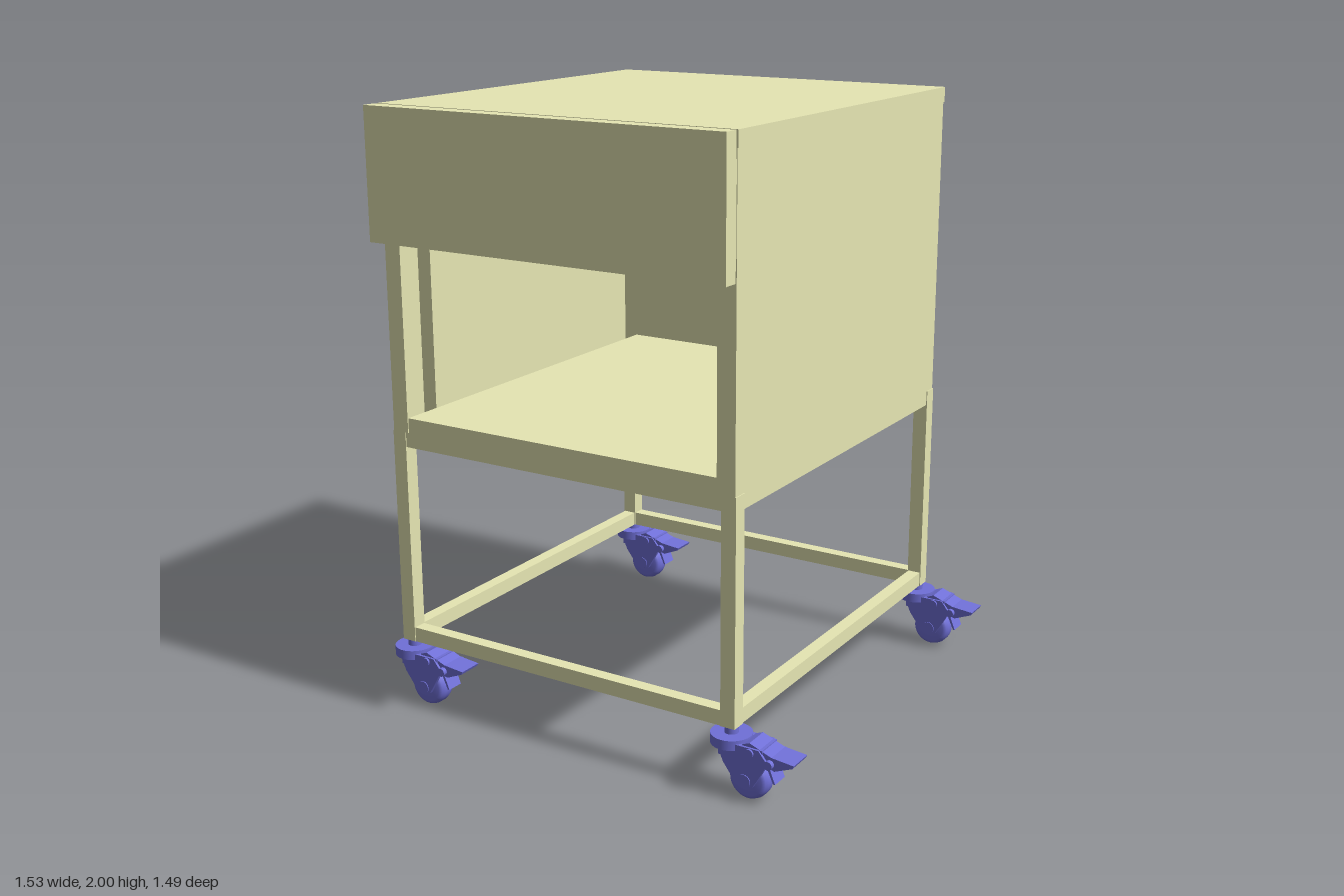
import * as THREE from 'three';

const khaki = new THREE.MeshStandardMaterial({ color: 0xe6e6b3 });
khaki.name = 'khaki panel';
const blue = new THREE.MeshStandardMaterial({ color: 0x7070d8 });
blue.name = 'blue caster';

// Box given by its extents on each axis
function box(parent, name, mat, [x0, x1], [y0, y1], [z0, z1]) {
  const mesh = new THREE.Mesh(new THREE.BoxGeometry(x1 - x0, y1 - y0, z1 - z0), mat);
  mesh.position.set((x0 + x1) / 2, (y0 + y1) / 2, (z0 + z1) / 2);
  mesh.name = name;
  parent.add(mesh);
}

// Cylinder along y, or along z when lying
function cylinder(parent, name, r, h, pos, lying) {
  const geo = new THREE.CylinderGeometry(r, r, h, 32);
  if (lying) geo.rotateX(Math.PI / 2);
  const mesh = new THREE.Mesh(geo, blue);
  mesh.position.set(...pos);
  mesh.name = name;
  parent.add(mesh);
}

// Side profile in x,y extruded between z0 and z1
function plate(parent, name, points, z0, z1) {
  const shape = new THREE.Shape(points.map(([x, y]) => new THREE.Vector2(x, y)));
  const geo = new THREE.ExtrudeGeometry(shape, { depth: z1 - z0, bevelEnabled: false });
  const mesh = new THREE.Mesh(geo, blue);
  mesh.position.z = z0;
  mesh.name = name;
  parent.add(mesh);
}

// Swivel caster with its stem at the local origin, trailing towards +x
function caster() {
  const g = new THREE.Group();
  g.name = 'caster';
  cylinder(g, 'stem', 0.022, 0.05, [0, 0.2, 0]);
  cylinder(g, 'swivelCap', 0.065, 0.032, [0, 0.182, 0]);
  // Rounded wheel
  const r = 0.066, w = 0.033;
  const profile = [[0.02, -w], [0.05, -w], [0.061, -0.026], [r, -0.012], [r, 0.012],
    [0.061, 0.026], [0.05, w], [0.02, w]].map(p => new THREE.Vector2(...p));
  const wheel = new THREE.Mesh(new THREE.LatheGeometry(profile, 36).rotateX(Math.PI / 2), blue);
  wheel.position.set(0.072, 0.07, 0);
  wheel.name = 'wheel';
  g.add(wheel);
  cylinder(g, 'axle', 0.022, 0.106, [0.072, 0.075, 0], true);
  // Fork cheeks and crown
  const cheek = [[-0.03, 0.187], [0.12, 0.187], [0.15, 0.15], [0.135, 0.12],
    [0.1, 0.06], [0.072, 0.05], [0.045, 0.06], [0, 0.12]];
  plate(g, 'forkCheek', cheek, 0.038, 0.05);
  plate(g, 'forkCheek', cheek, -0.05, -0.038);
  box(g, 'forkCrown', blue, [-0.02, 0.13], [0.139, 0.187], [-0.045, 0.045]);
  // Brake pedal, its pivots and its release wire
  plate(g, 'brakePedal', [[0.06, 0.19], [0.085, 0.2], [0.16, 0.172], [0.235, 0.165],
    [0.23, 0.155], [0.17, 0.13], [0.1, 0.15]], -0.042, 0.042);
  for (const [x, y] of [[0.09, 0.172], [0.155, 0.15]])
    cylinder(g, 'pivot', 0.014, 0.114, [x, y, 0], true);
  plate(g, 'brakeTongue', [[0.135, 0.135], [0.145, 0.135], [0.167, 0.08], [0.16, 0.08]], -0.03, 0.03);
  return g;
}

export function createModel() {
  const model = new THREE.Group();
  model.name = 'cabinetOnCasters';
  const X0 = -0.727, X1 = 0.556, Z0 = -0.702, Z1 = 0.681;
  const T = 0.05, W = 0.065, SKIN = 0.014, INSET = 0.003;

  // Frame: four legs and two rings of rails set slightly in from the leg faces
  const frame = new THREE.Group();
  frame.name = 'frame';
  model.add(frame);
  for (const x of [X0, X1 - T])
    for (const z of [Z0, Z1 - T])
      box(frame, 'leg', khaki, [x, x + T], [0.22, 0.95], [z, z + T]);
  for (const y of [0.22, 0.9]) {
    for (const z of [Z0, Z1 - T])
      box(frame, 'crossRail', khaki, [X0 + T, X1 - T], [y, y + T], [z + INSET, z + T - INSET]);
    for (const x of [X0, X1 - T])
      box(frame, 'sideRail', khaki, [x + INSET, x + T - INSET], [y, y + T], [Z0 + T, Z1 - T]);
  }

  // Hollow cabinet, open at the front, its walls just inside the top's edge
  const cabinet = new THREE.Group();
  cabinet.name = 'cabinet';
  model.add(cabinet);
  const wallBack = Z0 + INSET;
  box(cabinet, 'leftWall', khaki, [X1 - W, X1 - INSET], [0.95, 1.95], [wallBack, Z1]);
  box(cabinet, 'floor', khaki, [X0 + W, X1 - W], [0.95, 1], [Z0 + T, Z1]);
  box(cabinet, 'backWall', khaki, [X0 + SKIN, X1 - W], [0.95, 1.95], [wallBack, Z0 + T]);
  box(cabinet, 'top', khaki, [X0, X1], [1.95, 2], [Z0, Z1]);

  // Right wall: outer skin, front corner post and a lining that stops short of it
  box(cabinet, 'rightSkin', khaki, [X0 + INSET, X0 + SKIN], [0.95, 1.95], [wallBack, Z1]);
  box(cabinet, 'rightLining', khaki, [X0 + SKIN, X0 + W], [0.95, 1.95], [Z0 + 0.14, Z1 - 0.14]);
  box(cabinet, 'cornerPost', khaki, [X0 + SKIN, X0 + W - INSET], [0.95, 1.95], [Z1 - T, Z1]);

  // Raised front panel on a backing strip
  box(cabinet, 'frontPanel', khaki, [X0, X1], [1.577, 2], [0.692, 0.745]);
  box(cabinet, 'panelBacking', khaki, [X0 + 0.005, X1 - 0.005], [1.61, 1.92], [Z1, 0.692]);

  // Casters under the legs
  for (const x of [-0.702, 0.531])
    for (const z of [-0.68, 0.655]) {
      const c = caster();
      c.position.set(x, 0, z);
      model.add(c);
    }
  return model;
}
